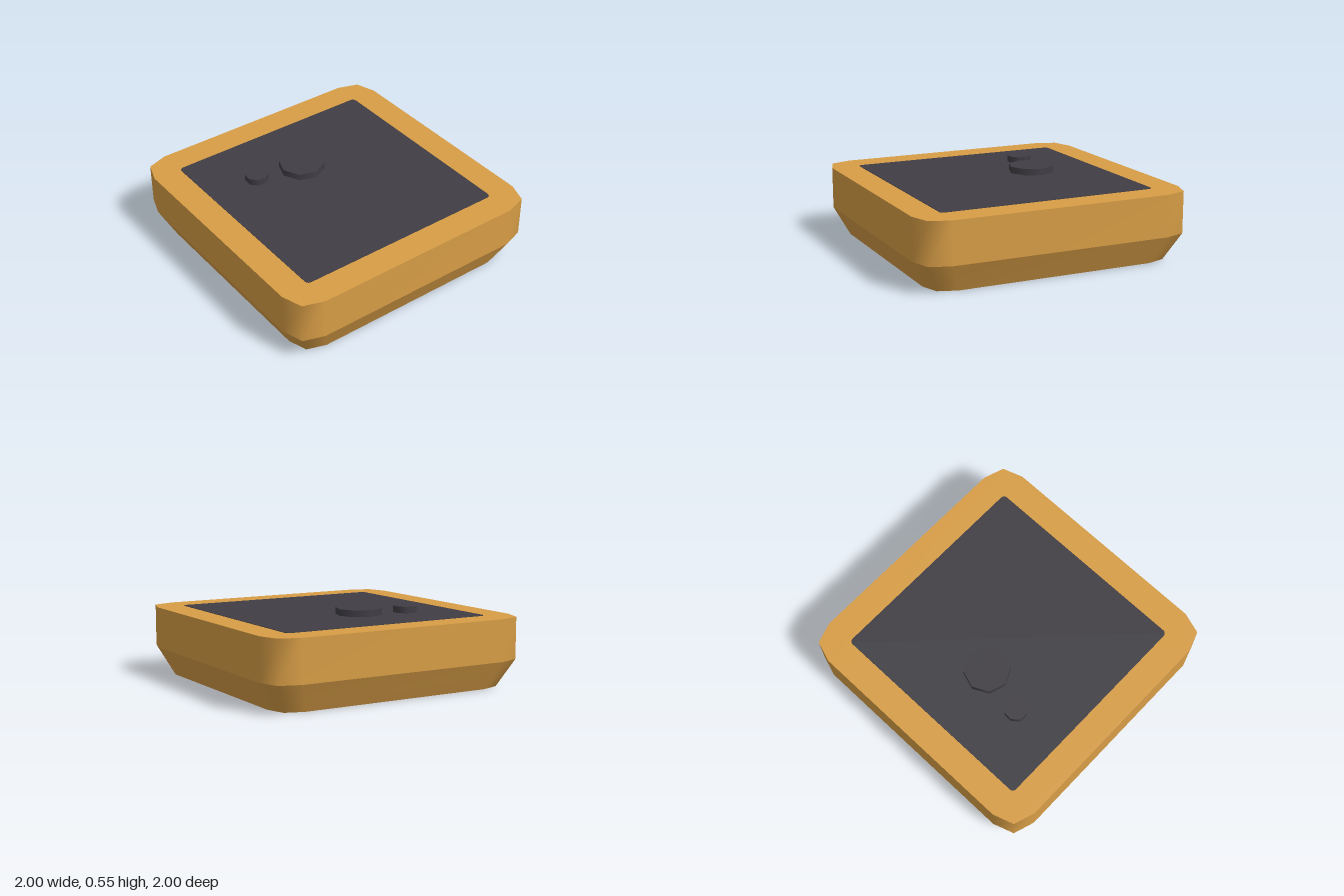
import * as THREE from 'three';

const gold = new THREE.MeshStandardMaterial({ name: 'warm gold', color: 0xd79d46 });
const dark = new THREE.MeshStandardMaterial({ name: 'charcoal', color: 0x403e44 });

// Square outline with cut corners, running from +x towards +z
const quarter = [[1, 0.8], [0.95, 0.95], [0.8, 1]];
const outline = [];
for (let k = 0; k < 4; k++) {
  const c = [1, 0, -1, 0][k], s = [0, 1, 0, -1][k];
  for (const [x, z] of quarter) outline.push([x * c - z * s, x * s + z * c]);
}

// One smooth wall between two scaled copies of the outline
function band(y0, s0, y1, s1) {
  const pos = [], index = [], n = outline.length;
  outline.forEach(([x, z], i) => {
    pos.push(x * s0, y0, z * s0, x * s1, y1, z * s1);
    const a = 2 * i, b = 2 * ((i + 1) % n);
    index.push(a, a + 1, b, b, a + 1, b + 1);
  });
  const g = new THREE.BufferGeometry();
  g.setAttribute('position', new THREE.Float32BufferAttribute(pos, 3));
  g.setIndex(index);
  g.computeVertexNormals();
  return g;
}

// Flat panel with slightly rounded corners
function roundedSquare(h, r) {
  const s = new THREE.Shape();
  s.absarc(h - r, h - r, r, 0, Math.PI / 2);
  s.absarc(r - h, h - r, r, Math.PI / 2, Math.PI);
  s.absarc(r - h, r - h, r, Math.PI, Math.PI * 1.5);
  s.absarc(h - r, r - h, r, Math.PI * 1.5, Math.PI * 2);
  s.closePath();
  return s;
}

export function createModel() {
  const model = new THREE.Group();
  const add = (name, geometry, material, x = 0, y = 0, z = 0) => {
    const mesh = new THREE.Mesh(geometry, material);
    mesh.name = name;
    mesh.position.set(x, y, z);
    model.add(mesh);
    return mesh;
  };

  // Tray body: upright rim above a tapered base
  add('rimWall', band(0.2, 1, 0.5, 1), gold);
  add('taperedBase', band(0, 0.9, 0.2, 1), gold);
  const cap = new THREE.Shape(outline.map(([x, z]) => new THREE.Vector2(x, z)));
  add('topRim', new THREE.ShapeGeometry(cap).rotateX(-Math.PI / 2), gold, 0, 0.5);
  add('underside', new THREE.ShapeGeometry(cap).rotateX(Math.PI / 2).scale(0.9, 1, 0.9), gold);

  // Dark inlay on the top
  const inlay = new THREE.ExtrudeGeometry(roundedSquare(0.795, 0.03),
    { depth: 0.003, bevelEnabled: false, curveSegments: 4 });
  add('topPanel', inlay.rotateX(-Math.PI / 2), dark, 0, 0.5);

  // Two eight-sided discs resting on the panel
  const disc = (name, r, x, z, turn) => {
    add(name, new THREE.CylinderGeometry(r, r, 0.05, 8), dark, x, 0.525, z).rotation.y = turn;
  };
  disc('largeDisc', 0.167, -0.068, -0.287, 0.07);
  disc('smallDisc', 0.085, -0.412, -0.358, 0.33);

  return model;
}
